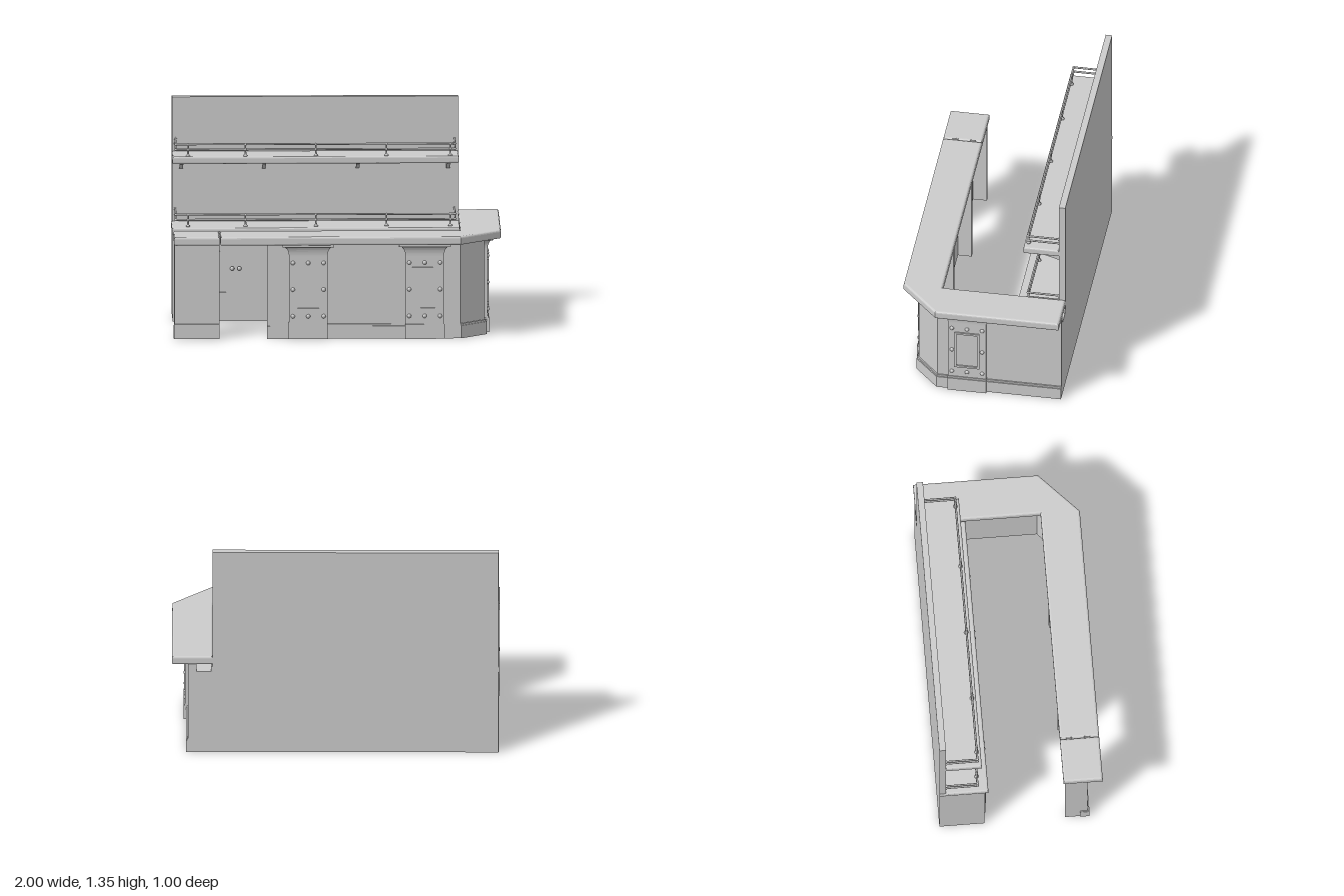
import * as THREE from 'three';

const mat = new THREE.MeshStandardMaterial({ color: 0xcccccc, flatShading: true, side: THREE.DoubleSide });
const smooth = new THREE.MeshStandardMaterial({ color: 0xcccccc });

function add(parent, name, geo, x = 0, y = 0, z = 0, material = mat) {
  const m = new THREE.Mesh(geo, material);
  m.name = name;
  m.position.set(x, y, z);
  parent.add(m);
  return m;
}

// box given by its min and max corners
function box(parent, name, x0, x1, y0, y1, z0, z1) {
  return add(parent, name, new THREE.BoxGeometry(x1 - x0, y1 - y0, z1 - z0),
    (x0 + x1) / 2, (y0 + y1) / 2, (z0 + z1) / 2);
}

// floor-plan outline [x, z] raised from y0 to y1, with optional rounded edges
function slab(parent, name, pts, y0, y1, bevel = 0) {
  const shape = new THREE.Shape(pts.map(([x, z]) => new THREE.Vector2(x, -z)));
  const geo = new THREE.ExtrudeGeometry(shape, {
    depth: y1 - y0 - 2 * bevel, bevelEnabled: bevel > 0, bevelSize: bevel,
    bevelThickness: bevel, bevelOffset: -bevel, bevelSegments: 3,
  });
  geo.rotateX(-Math.PI / 2);
  return add(parent, name, geo, 0, y0 + bevel, 0);
}

// rectangular moulding ring, facing +z
function frame(parent, name, w, h, t, d, x, y, z) {
  const s = new THREE.Shape([[-1, -1], [1, -1], [1, 1], [-1, 1]].map(([a, b]) => new THREE.Vector2(a * w / 2, b * h / 2)));
  s.holes.push(new THREE.Path([[-1, -1], [-1, 1], [1, 1], [1, -1]].map(([a, b]) =>
    new THREE.Vector2(a * (w / 2 - t), b * (h / 2 - t)))));
  return add(parent, name, new THREE.ExtrudeGeometry(s, { depth: d, bevelEnabled: false }), x, y, z);
}

function rod(parent, name, a, b, r) {
  const p = new THREE.Vector3(...a), q = new THREE.Vector3(...b);
  const m = add(parent, name, new THREE.CylinderGeometry(r, r, p.distanceTo(q), 10), 0, 0, 0, smooth);
  m.position.copy(p).add(q).multiplyScalar(0.5);
  m.quaternion.setFromUnitVectors(new THREE.Vector3(0, 1, 0), q.clone().sub(p).normalize());
}

// decorated pilaster with flared head; local z = 0 is the wall surface
function pilaster(parent, x, z, turn) {
  const g = new THREE.Group();
  g.name = 'pilaster';
  g.position.set(x, 0, z);
  g.rotation.y = turn;
  const geo = new THREE.BoxGeometry(0.236, 0.49, 0.04, 1, 49, 1);
  const p = geo.attributes.position;
  for (let i = 0; i < p.count; i++) {
    const y = p.getY(i) + 0.335;
    const t = Math.min(1, Math.max(0, (y - 0.51) / 0.065));
    const flare = 0.036 * (1 - Math.sqrt(1 - t * t));
    p.setX(i, p.getX(i) + Math.sign(p.getX(i)) * flare);
    if (p.getZ(i) > 0) p.setZ(i, p.getZ(i) + flare * 0.8);
  }
  geo.computeVertexNormals();
  add(g, 'pilasterBody', geo, 0, 0.335, 0);
  box(g, 'pilasterCap', -0.158, 0.158, 0.572, 0.595, -0.02, 0.052);
  box(g, 'pilasterPlinth', -0.12, 0.12, 0, 0.09, -0.02, 0.03);
  box(g, 'pilasterPlinthLip', -0.119, 0.119, 0.09, 0.102, -0.02, 0.025);
  frame(g, 'panelFrame', 0.155, 0.265, 0.013, 0.01, 0, 0.31, 0.019);
  for (const bx of [-1, 0, 1]) for (const by of [0.14, 0.305, 0.47]) {
    if (bx === 0 && by === 0.305) continue;
    const bolt = add(g, 'bolt', new THREE.SphereGeometry(0.013, 12, 8), bx * 0.094, by, 0.02, smooth);
    bolt.scale.z = 0.9;
  }
  parent.add(g);
}

// two-bar gallery rail standing on a surface at height y
function gallery(parent, y) {
  const g = new THREE.Group();
  g.name = 'galleryRail';
  const x0 = -0.975, x1 = 0.73, z0 = -0.46, z1 = -0.265;
  for (const h of [0.042, 0.074]) {
    rod(g, 'frontRail', [x0, y + h, z1], [x1, y + h, z1], 0.006);
    for (const x of [x0, x1]) {
      rod(g, 'sideRail', [x, y + h, z0], [x, y + h, z1], 0.006);
      rod(g, 'wallFlange', [x, y + h, z0], [x, y + h, z0 + 0.006], 0.011);
      add(g, 'railCorner', new THREE.SphereGeometry(0.008, 10, 8), x, y + h, z1, smooth);
    }
  }
  const profile = [[0, 0], [0.013, 0], [0.013, 0.006], [0.006, 0.012], [0.005, 0.035], [0.009, 0.042],
    [0.005, 0.05], [0.005, 0.066], [0.009, 0.074], [0, 0.083]].map(([r, h]) => new THREE.Vector2(r, h));
  for (const x of [-0.9, -0.55, -0.12, 0.31, 0.7])
    add(g, 'railPost', new THREE.LatheGeometry(profile, 10), x, y, z1, smooth);
  parent.add(g);
}

// L-shaped front wall with a chamfered corner, grown outwards by d
function wallPlan(d, x0 = -0.43) {
  return [[x0, 0.405 + d], [0.75 + 0.4 * d, 0.405 + d], [0.9 + d, 0.265 + 0.4 * d], [0.9 + d, -0.5],
    [0.85, -0.5], [0.85, 0.245], [0.73, 0.355], [x0, 0.355]];
}

export function createModel() {
  const root = new THREE.Group();
  root.name = 'barCounter';

  // front counter: shell wall, plinth and inner partitions
  slab(root, 'counterWall', wallPlan(0), 0, 0.595);
  slab(root, 'counterPlinth', wallPlan(0.014), 0, 0.078);
  slab(root, 'counterPlinthLip', wallPlan(0.008), 0.078, 0.09);
  for (const x of [-0.43, 0.24]) box(root, 'partition', x, x + 0.03, 0, 0.595, 0.27, 0.36);

  // left post under the lifting flap
  box(root, 'flapPost', -0.995, -0.72, 0, 0.595, 0.355, 0.405);
  box(root, 'flapPostReturn', -0.995, -0.965, 0, 0.595, 0.27, 0.36);
  box(root, 'flapPostPlinth', -1, -0.72, 0, 0.078, 0.36, 0.419);
  box(root, 'flapPostPlinthLip', -0.998, -0.72, 0.078, 0.09, 0.36, 0.413);

  // worktop and hinged flap
  slab(root, 'worktop', [[-0.718, 0.5], [0.75, 0.5], [1, 0.265], [1, -0.5], [0.75, -0.5], [0.75, 0.26], [-0.718, 0.26]],
    0.59, 0.643, 0.012);
  slab(root, 'flap', [[-1, 0.5], [-0.722, 0.5], [-0.722, 0.26], [-1, 0.26]], 0.59, 0.643, 0.012);
  for (const z of [0.315, 0.425]) {
    box(root, 'hingePlate', -0.728, -0.712, 0.64, 0.646, z - 0.018, z + 0.018);
    rod(root, 'hingePin', [-0.72, 0.644, z - 0.018], [-0.72, 0.644, z + 0.018], 0.005);
  }

  for (const x of [-0.18, 0.53]) pilaster(root, x, 0.405, 0);
  pilaster(root, 0.9, 0.08, Math.PI / 2);

  // back cabinet with its lower worktop
  box(root, 'cabinet', -0.995, 0.87, 0, 0.545, -0.5, -0.225);
  slab(root, 'cabinetTop', [[-1, -0.2], [0.76, -0.2], [0.76, -0.5], [-1, -0.5]], 0.538, 0.58, 0.01);

  // cabinet doors in pairs, the last one single
  const doors = [[-0.97, -0.61, 1], [-0.61, -0.25, -1], [-0.25, 0.11, 1], [0.11, 0.47, -1], [0.47, 0.83, -1]];
  for (const [a, b, side] of doors) {
    const c = (a + b) / 2;
    box(root, 'door', a + 0.003, b - 0.003, 0.11, 0.532, -0.23, -0.217);
    frame(root, 'doorMoulding', 0.27, 0.315, 0.014, 0.008, c, 0.325, -0.218);
    box(root, 'doorPanel', c - 0.085, c + 0.085, 0.215, 0.435, -0.22, -0.211);
    const x = side > 0 ? b - 0.022 : a + 0.022;
    rod(root, 'knobStem', [x, 0.33, -0.22], [x, 0.33, -0.2], 0.006);
    add(root, 'knob', new THREE.SphereGeometry(0.013, 12, 10), x, 0.33, -0.202, smooth);
  }

  // back wall and hanging shelf
  box(root, 'backWall', -0.995, 0.753, 0.5, 1.35, -0.5, -0.46);
  slab(root, 'shelf', [[-0.995, -0.24], [0.753, -0.24], [0.753, -0.46], [-0.995, -0.46]], 0.97, 1.015, 0.01);

  // wedge brackets under the shelf
  const wedge = new THREE.Shape([[0.46, 0.905], [0.46, 0.975], [0.26, 0.975], [0.26, 0.965]].map(([a, b]) => new THREE.Vector2(a, b)));
  const bracket = new THREE.ExtrudeGeometry(wedge, { depth: 0.022, bevelEnabled: false });
  bracket.rotateY(Math.PI / 2);
  for (const x of [-0.94, -0.435, 0.137, 0.69]) add(root, 'bracket', bracket, x - 0.011, 0, 0);

  gallery(root, 1.015);
  gallery(root, 0.58);
  return root;
}
